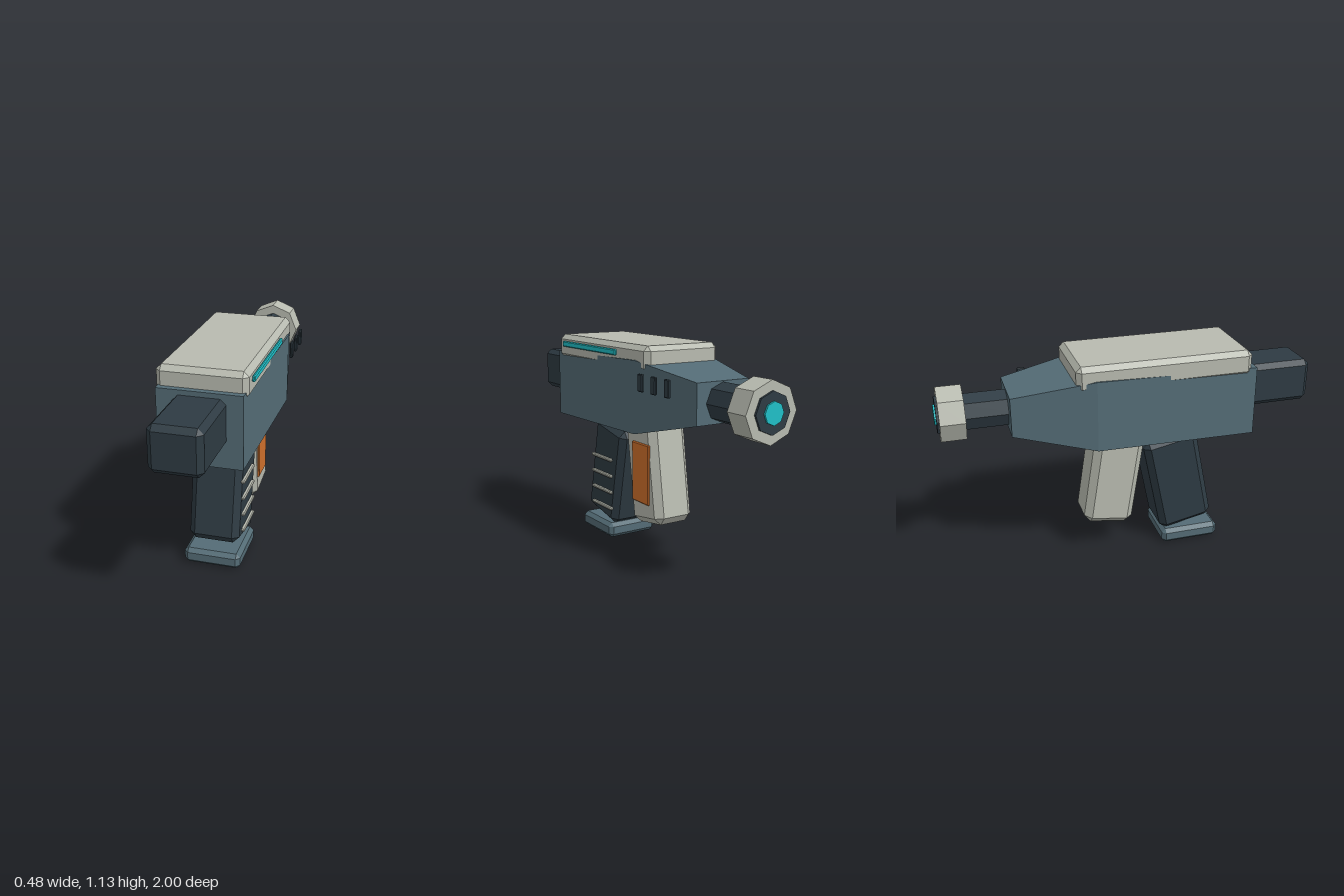
import * as THREE from 'three';
import { ConvexGeometry } from 'three/addons/geometries/ConvexGeometry.js';

const material = (name, color) => {
  const m = new THREE.MeshStandardMaterial({ color, flatShading: true });
  m.name = name;
  return m;
};

// Box with every edge cut at 45 degrees by c
function chamferBox(w, h, d, c) {
  const points = [];
  for (const x of [-w / 2, w / 2]) for (const y of [-h / 2, h / 2]) for (const z of [-d / 2, d / 2]) {
    const ix = x - Math.sign(x) * c, iy = y - Math.sign(y) * c, iz = z - Math.sign(z) * c;
    points.push(new THREE.Vector3(x, iy, iz), new THREE.Vector3(ix, y, iz), new THREE.Vector3(ix, iy, z));
  }
  return new ConvexGeometry(points);
}

export function createModel() {
  const slate = material('slate', 0x546c76);
  const dark = material('dark', 0x2e3b43);
  const grey = material('light grey', 0xb8bbb0);
  const cyan = material('cyan', 0x1fc0c8);
  const orange = material('orange', 0xd0702c);

  const model = new THREE.Group();
  model.name = 'blaster';
  // Side details stand out on one side only, so the core sits slightly off centre
  const core = new THREE.Group();
  core.name = 'core';
  core.position.x = -0.0075;
  model.add(core);

  const add = (name, geometry, mat, x, y, z, tilt = 0) => {
    const mesh = new THREE.Mesh(geometry, mat);
    mesh.name = name;
    mesh.position.set(x, y, z);
    mesh.rotation.x = tilt;
    core.add(mesh);
    return mesh;
  };

  // Body: three rectangular sections [z, half width, bottom, top]
  const bodyPoints = [];
  for (const [z, w, y0, y1] of [[0.645, 0.21, 0.665, 1.037], [-0.215, 0.2325, 0.685, 1.06], [-0.637, 0.153, 0.785, 0.99]]) {
    for (const x of [-w, w]) for (const y of [y0, y1]) bodyPoints.push(new THREE.Vector3(x, y, z));
  }
  add('body', new ConvexGeometry(bodyPoints), slate, 0, 0, 0);

  // Top cover and front block
  add('topCover', chamferBox(0.445, 0.135, 0.93, 0.026), grey, 0, 1.0675, 0.15);
  add('frontBlock', chamferBox(0.257, 0.232, 0.42, 0.027), dark, 0, 0.896, 0.79);

  // Eight-sided rear barrel, muzzle ring, inner disc and lens
  const barrelPart = (name, r, z0, z1, mat) =>
    add(name, new THREE.CylinderGeometry(r, r, z0 - z1, 8), mat, 0, 0.887, (z0 + z1) / 2, Math.PI / 2);
  barrelPart('rearBarrel', 0.098, -0.58, -0.87, dark);
  barrelPart('muzzleRing', 0.148, -0.853, -0.98, grey);
  barrelPart('muzzleDisc', 0.1, -0.97, -0.991, dark);
  barrelPart('muzzleLens', 0.055, -0.985, -1.0, cyan);

  // Main grip, its foot and side ribs
  add('grip', chamferBox(0.265, 0.56, 0.303, 0.033), dark, 0, 0.378, 0.265, -0.2);
  add('gripFoot', chamferBox(0.3, 0.085, 0.326, 0.021), slate, 0, 0.0425, 0.334);
  for (let i = 0; i < 4; i++) {
    add('gripRib', chamferBox(0.022, 0.017, 0.21, 0.005), grey, 0.138, 0.174 + i * 0.094, 0.28);
  }

  // Second grip with its side panel
  add('secondGrip', chamferBox(0.23, 0.58, 0.272, 0.037), grey, 0, 0.452, -0.0915, 0.15);
  add('gripPanel', chamferBox(0.016, 0.327, 0.16, 0.005), orange, 0.117, 0.441, -0.1);

  // Light strip and vents on the left side
  add('lightStrip', chamferBox(0.016, 0.031, 0.582, 0.005), cyan, 0.23, 1.084, 0.253);
  for (const z of [-0.286, -0.402, -0.518]) {
    add('vent', chamferBox(0.015, 0.088, 0.042, 0.004), dark, 0.2375, 0.955, z);
  }
  return model;
}
